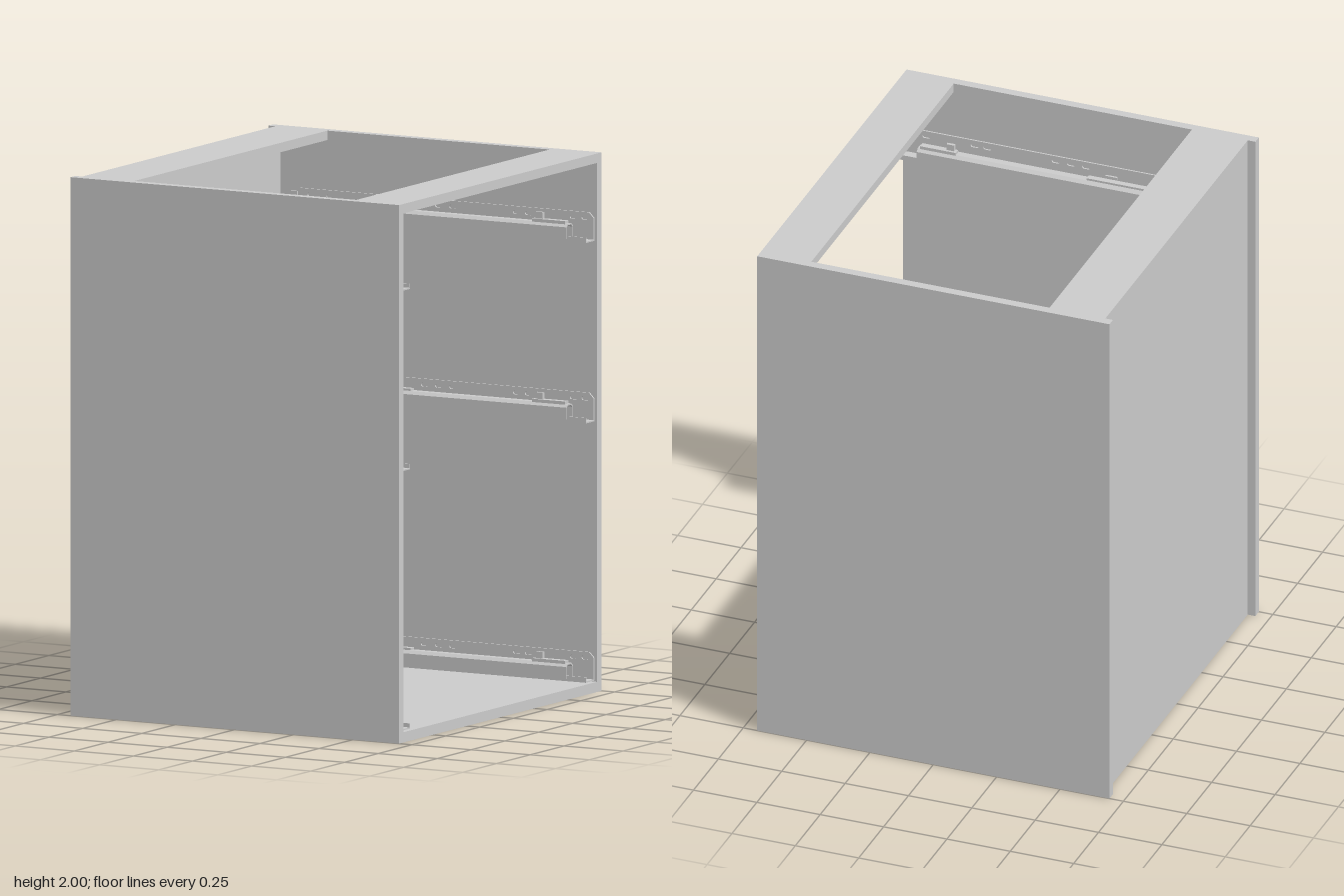
import * as THREE from 'three';

const grey = new THREE.MeshStandardMaterial({ color: 0xcccccc, side: THREE.DoubleSide });

function add(parent, name, geometry) {
  const mesh = new THREE.Mesh(geometry, grey);
  mesh.name = name;
  parent.add(mesh);
}

// Box given by its lower and upper corner on each axis
function box(parent, name, x0, x1, y0, y1, z0, z1) {
  const g = new THREE.BoxGeometry(x1 - x0, y1 - y0, Math.abs(z1 - z0));
  add(parent, name, g.translate((x0 + x1) / 2, (y0 + y1) / 2, (z0 + z1) / 2));
}

// Profile of [distance from wall, height] points, run along x
function bar(parent, name, points, x0, x1, s) {
  const shape = new THREE.Shape(points.map(([d, y]) => new THREE.Vector2(-s * (WALL - d), y)));
  const g = new THREE.ExtrudeGeometry(shape, { depth: x1 - x0, bevelEnabled: false });
  add(parent, name, g.rotateY(Math.PI / 2).translate(x0, 0, 0));
}

const WALL = 0.715;           // inner face of the side panels
const REAR = -0.557, FRONT = 0.685; // ends of the drawer runners

// Rounded slot outline
function slot(x, y, length, r) {
  const p = new THREE.Path();
  p.absarc(x + length / 2, y, r, -Math.PI / 2, Math.PI / 2, false);
  p.absarc(x - length / 2, y, r, Math.PI / 2, Math.PI * 1.5, false);
  p.closePath();
  return p;
}

// One drawer runner; s is the side of the cabinet (+1 or -1 in z)
function runner(s) {
  const g = new THREE.Group();
  const z = d => s * (WALL - d);

  // Wall flange with screw slots
  const plate = new THREE.Shape([
    [REAR, 0], [FRONT, 0], [FRONT, 0.085], [FRONT - 0.02, 0.105], [REAR, 0.105],
  ].map(p => new THREE.Vector2(...p)));
  for (const x of [-0.51, -0.43, -0.03, 0.03, 0.09, 0.36, 0.41, 0.6, 0.65])
    plate.holes.push(slot(x, 0.083, 0.018, 0.007));
  const flange = new THREE.ExtrudeGeometry(plate, { depth: 0.006, bevelEnabled: false, curveSegments: 6 });
  add(g, 'wallFlange', flange.translate(0, 0, s > 0 ? WALL - 0.006 : -WALL));

  // Fixed channel floor with its upturned lip
  bar(g, 'fixedChannel', [
    [0, 0], [0.064, 0], [0.064, 0.02], [0.059, 0.02], [0.059, 0.005], [0, 0.005],
  ], REAR, FRONT, s);

  // Sliding member: hollow cap with sloped shoulders
  bar(g, 'slidingMember', [
    [0.08, 0.011], [0.08, 0.055], [0.068, 0.066], [0.04, 0.066], [0.027, 0.055], [0.027, 0.013],
    [0.032, 0.013], [0.032, 0.052], [0.042, 0.061], [0.066, 0.061], [0.075, 0.053], [0.075, 0.011],
  ], REAR - 0.01, 0.61, s);

  // Inner carriage
  box(g, 'carriage', REAR + 0.02, 0.59, 0.012, 0.042, z(0.04), z(0.055));

  // Raised rear strip, clip and front latch
  box(g, 'rearStrip', REAR + 0.03, -0.055, 0.064, 0.074, z(0.042), z(0.066));
  box(g, 'clip', -0.16, -0.115, 0.066, 0.078, z(0.022), z(0.03));
  box(g, 'latchBase', 0.46, 0.6, 0.064, 0.076, z(0.045), z(0.07));
  box(g, 'latchTab', 0.47, 0.5, 0.074, 0.1, z(0.048), z(0.06));
  box(g, 'rearHook', REAR - 0.01, REAR + 0.015, 0.06, 0.1, z(0.046), z(0.056));
  return g;
}

export function createModel() {
  const model = new THREE.Group();
  model.name = 'drawerCabinet';

  // Carcass
  box(model, 'leftHandPanel', -0.695, 0.695, 0, 2, WALL, 0.75);
  box(model, 'rightHandPanel', -0.695, 0.695, 0, 2, -0.75, -WALL);
  box(model, 'bottomPanel', -0.665, 0.695, 0, 0.038, -WALL, WALL);
  box(model, 'backPanel', -0.665, -0.643, 0.038, 1.965, -WALL, WALL);
  box(model, 'rearStretcher', -0.665, -0.445, 1.965, 2, -WALL, WALL);
  box(model, 'frontStretcher', 0.495, 0.695, 1.965, 2, -WALL, WALL);

  // Three pairs of drawer runners
  [0.042, 1.005, 1.675].forEach((y, i) => {
    for (const s of [-1, 1]) {
      const r = runner(s);
      r.name = `drawerRunner${i + 1}${s > 0 ? 'A' : 'B'}`;
      r.position.y = y;
      model.add(r);
    }
  });
  return model;
}
